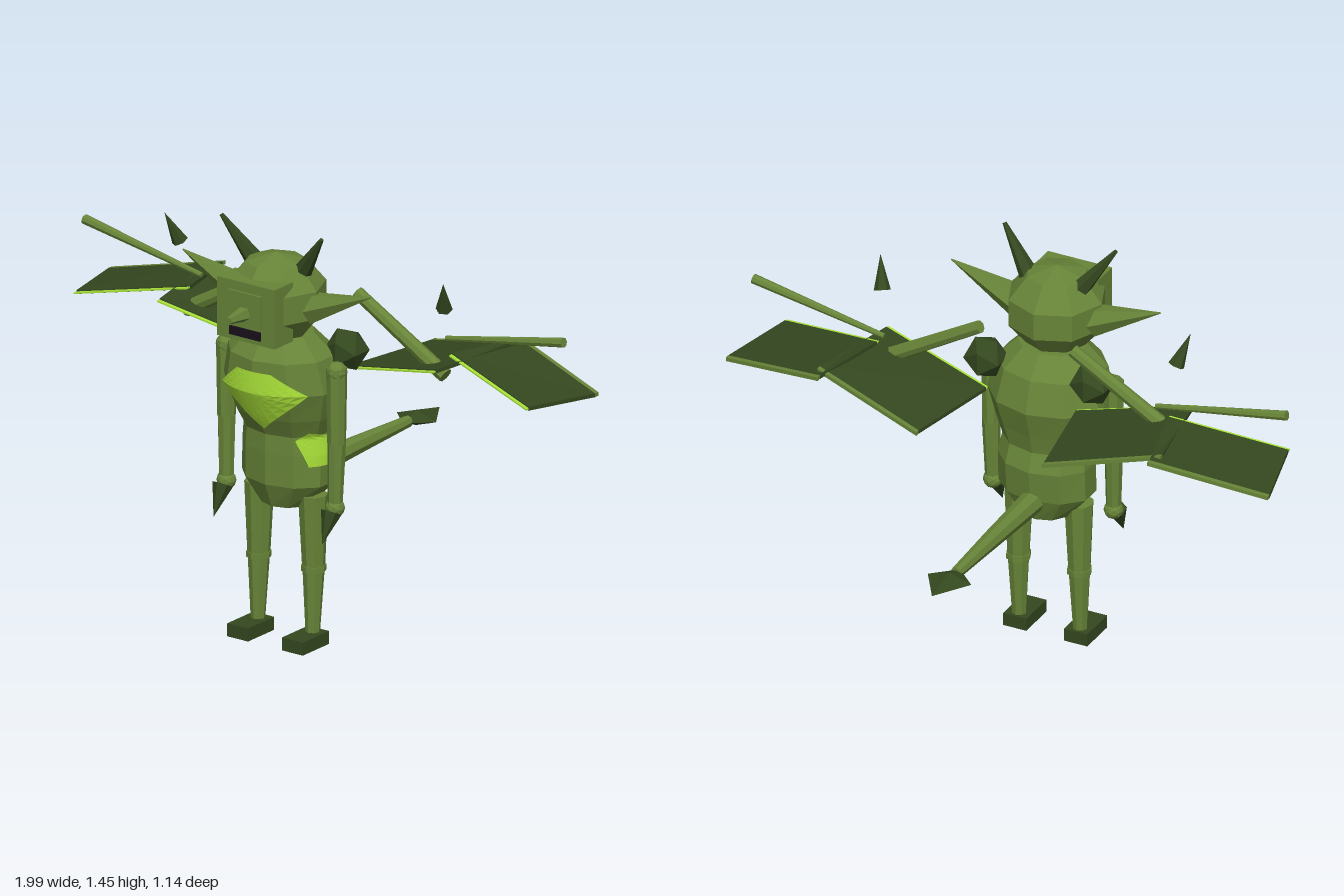
import * as THREE from 'three';

const mat = (name, color) => {
  const m = new THREE.MeshStandardMaterial({ color });
  m.name = name;
  return m;
};
const V = (x, y, z) => new THREE.Vector3(x, y, z);

// Torso cross-sections from hips to neck: y, half width, centre z, half depth
const RINGS = [
  [0.475, 0.09, 0.25, 0.09], [0.56, 0.168, 0.25, 0.124], [0.67, 0.168, 0.245, 0.13],
  [0.735, 0.158, 0.255, 0.117], [0.8, 0.185, 0.265, 0.142], [0.9, 0.215, 0.272, 0.178],
  [1.01, 0.19, 0.285, 0.16], [1.08, 0.12, 0.29, 0.1],
];

// Point on the torso at an angle (0 = front, positive = model's left) and height
function torsoPoint(angle, y, grow = 1) {
  let i = 0;
  while (i < RINGS.length - 2 && y > RINGS[i + 1][0]) i++;
  const a = RINGS[i], b = RINGS[i + 1];
  const t = (y - a[0]) / (b[0] - a[0]);
  const [rx, zc, rz] = [1, 2, 3].map((k) => a[k] + (b[k] - a[k]) * t);
  return [rx * grow * Math.sin(angle), y, zc + rz * grow * Math.cos(angle)];
}

export function createModel() {
  const skin = mat('olive skin', 0x678438);
  const dark = mat('dark green', 0x34481f);
  const lime = mat('lime patch', 0xa8e038);
  const black = mat('mouth black', 0x1a101c);
  const model = new THREE.Group();
  model.name = 'wingedCreature';

  // Adds a faceted mesh
  const add = (name, geo, material) => {
    const g = geo.index ? geo.toNonIndexed() : geo;
    g.computeVertexNormals();
    const mesh = new THREE.Mesh(g, material);
    mesh.name = name;
    model.add(mesh);
    return mesh;
  };

  // Tapered rod from point a to point b
  const limb = (name, a, b, ra, rb, sides, material) => {
    const dir = b.clone().sub(a);
    const g = new THREE.CylinderGeometry(rb, ra, dir.length(), sides);
    const m = add(name, g, material);
    m.position.copy(a).lerp(b, 0.5);
    m.quaternion.setFromUnitVectors(V(0, 1, 0), dir.normalize());
    return m;
  };

  const box = (name, w, h, d, x, y, z, material) => {
    add(name, new THREE.BoxGeometry(w, h, d), material).position.set(x, y, z);
  };

  const ball = (name, r, detail, x, y, z, material) => {
    add(name, new THREE.IcosahedronGeometry(r, detail), material).position.set(x, y, z);
  };

  // Thin slab between corners: inner back, outer back, inner front, outer front
  const slab = (name, c, thick, s, material) => {
    const g = new THREE.BoxGeometry(1, 1, 1);
    const p = g.attributes.position;
    for (let i = 0; i < p.count; i++) {
      const u = 0.5 + s * p.getX(i), v = p.getZ(i) + 0.5;
      const q = c[0].clone().lerp(c[1], u).lerp(c[2].clone().lerp(c[3], u), v);
      p.setXYZ(i, s * q.x, q.y + p.getY(i) * thick, q.z);
    }
    add(name, g, material);
  };

  // Torso
  const SIDES = 10;
  const pos = [];
  const tri = (...pts) => pts.forEach((p) => pos.push(...p));
  for (let j = 0; j < SIDES; j++) {
    const a = (j / SIDES) * Math.PI * 2, b = ((j + 1) / SIDES) * Math.PI * 2;
    for (let i = 0; i < RINGS.length - 1; i++) {
      const y0 = RINGS[i][0], y1 = RINGS[i + 1][0];
      const p = torsoPoint(a, y0), q = torsoPoint(b, y0), r = torsoPoint(b, y1), t = torsoPoint(a, y1);
      tri(p, q, r);
      tri(p, r, t);
    }
    const lo = RINGS[0], hi = RINGS[RINGS.length - 1];
    tri([0, lo[0], lo[2]], torsoPoint(b, lo[0]), torsoPoint(a, lo[0]));
    tri([0, hi[0], hi[2]], torsoPoint(a, hi[0]), torsoPoint(b, hi[0]));
  }
  const torso = new THREE.BufferGeometry();
  torso.setAttribute('position', new THREE.Float32BufferAttribute(pos, 3));
  add('torso', torso, skin);

  // Painted patches that follow the torso; outline in (angle, height), anticlockwise
  const patch = (name, outline, ca, cy) => {
    const out = [], N = 5, M = 5;
    const at = (p, k) => torsoPoint(ca + (p[0] - ca) * k, cy + (p[1] - cy) * k, 1.025);
    outline.forEach((p, i) => {
      const n = outline[(i + 1) % outline.length];
      const edge = (t) => [p[0] + (n[0] - p[0]) * t, p[1] + (n[1] - p[1]) * t];
      for (let e = 0; e < N; e++) for (let k = 0; k < M; k++) {
        const a = edge(e / N), b = edge((e + 1) / N), k0 = k / M, k1 = (k + 1) / M;
        out.push(...at(a, k0), ...at(a, k1), ...at(b, k1));
        if (k) out.push(...at(a, k0), ...at(b, k1), ...at(b, k0));
      }
    });
    const g = new THREE.BufferGeometry();
    g.setAttribute('position', new THREE.Float32BufferAttribute(out, 3));
    add(name, g, lime);
  };
  patch('chestPatch', [[0.95, 0.905], [0.36, 0.975], [-0.32, 0.975], [-0.77, 0.9], [0.04, 0.76]], 0, 0.9);
  patch('flankPatch', [[1.87, 0.69], [1.6, 0.735], [1, 0.755], [0.68, 0.725], [0.95, 0.635], [1.7, 0.635]], 1.3, 0.69);

  // Head and face
  const head = add('head', new THREE.SphereGeometry(0.174, 8, 5), skin);
  head.scale.y = 0.88;
  head.position.set(0, 1.2, 0.315);
  box('face', 0.235, 0.205, 0.1, 0, 1.1875, 0.43, skin);
  box('muzzle', 0.135, 0.115, 0.012, 0, 1.2, 0.482, skin);
  box('mouth', 0.125, 0.03, 0.008, 0, 1.117, 0.482, black);
  limb('snout', V(0, 1.185, 0.48), V(0, 1.185, 0.57), 0.028, 0.012, 5, skin);

  // Tail with a flat spade at its end
  limb('tailBase', V(0, 0.55, 0.16), V(0, 0.555, -0.12), 0.042, 0.032, 8, skin);
  limb('tailEnd', V(0, 0.555, -0.12), V(0, 0.556, -0.4), 0.032, 0.02, 8, skin);
  const spade = [limb('tailSpadeRoot', V(0, 0.556, -0.445), V(0, 0.556, -0.37), 0.08, 0, 4, dark),
    limb('tailSpadeTip', V(0, 0.556, -0.445), V(0, 0.556, -0.57), 0.08, 0, 4, dark)];
  spade.forEach((m) => { m.scale.z = 0.33; });

  for (const s of [1, -1]) {
    const side = s > 0 ? 'left' : 'right';
    const P = (x, y, z) => V(s * x, y, z);
    const n = (part) => side + part;

    // Horns and ears
    limb(n('Horn'), P(0.09, 1.29, 0.3), P(0.205, 1.445, 0.34), 0.034, 0.007, 6, dark);
    limb(n('Ear'), P(0.14, 1.185, 0.31), P(0.385, 1.275, 0.31), 0.055, 0.002, 6, skin);

    // Arms
    ball(n('Shoulder'), 0.075, 0, s * 0.195, 1.02, 0.19, dark);
    ball(n('ArmTop'), 0.036, 1, s * 0.225, 0.975, 0.285, skin);
    limb(n('UpperArm'), P(0.225, 0.99, 0.285), P(0.225, 0.73, 0.285), 0.035, 0.031, 8, skin);
    limb(n('Forearm'), P(0.225, 0.73, 0.285), P(0.222, 0.51, 0.29), 0.031, 0.025, 8, skin);
    ball(n('Wrist'), 0.033, 1, s * 0.222, 0.505, 0.29, skin);
    limb(n('Claw'), P(0.222, 0.495, 0.31), P(0.222, 0.395, 0.36), 0.035, 0, 6, dark);

    // Legs
    limb(n('Thigh'), P(0.11, 0.52, 0.26), P(0.112, 0.265, 0.26), 0.05, 0.038, 8, skin);
    limb(n('Knee'), P(0.112, 0.275, 0.26), P(0.112, 0.255, 0.26), 0.042, 0.042, 8, skin);
    limb(n('Shin'), P(0.112, 0.265, 0.26), P(0.112, 0.04, 0.265), 0.037, 0.024, 8, skin);
    box(n('Foot'), 0.085, 0.045, 0.142, s * 0.112, 0.0225, 0.304, dark);

    // Wing bones and wing claw
    limb(n('WingArm'), P(0.17, 1.185, 0.1), P(0.53, 0.975, 0.1), 0.022, 0.026, 8, skin);
    limb(n('WingFinger'), P(0.5, 1.085, 0.055), P(0.98, 1.175, 0.055), 0.009, 0.017, 8, skin);
    limb(n('WingClaw'), P(0.54, 1.215, 0.12), P(0.57, 1.32, 0.165), 0.028, 0, 6, dark);

    // Wing membranes with a thin lime front trim and an olive back rib
    const membranes = {
      InnerWing: [V(0.23, 0.935, -0.22), V(0.63, 1.035, -0.15), V(0.165, 0.935, 0.132), V(0.565, 1.025, 0.197)],
      OuterWing: [V(0.605, 1.03, -0.195), V(0.995, 0.952, -0.095), V(0.535, 1.04, 0.072), V(0.925, 0.967, 0.172)],
    };
    for (const [part, c] of Object.entries(membranes)) {
      const shift = (p, dz) => p.clone().add(V(0, 0, dz));
      slab(n(part), c, 0.013, s, dark);
      slab(n(part + 'Trim'), [c[2], c[3], shift(c[2], 0.014), shift(c[3], 0.014)], 0.005, s, lime);
      slab(n(part + 'Rib'), [shift(c[0], -0.017), shift(c[1], -0.017), c[0], c[1]], 0.013, s, skin);
    }
  }
  return model;
}
